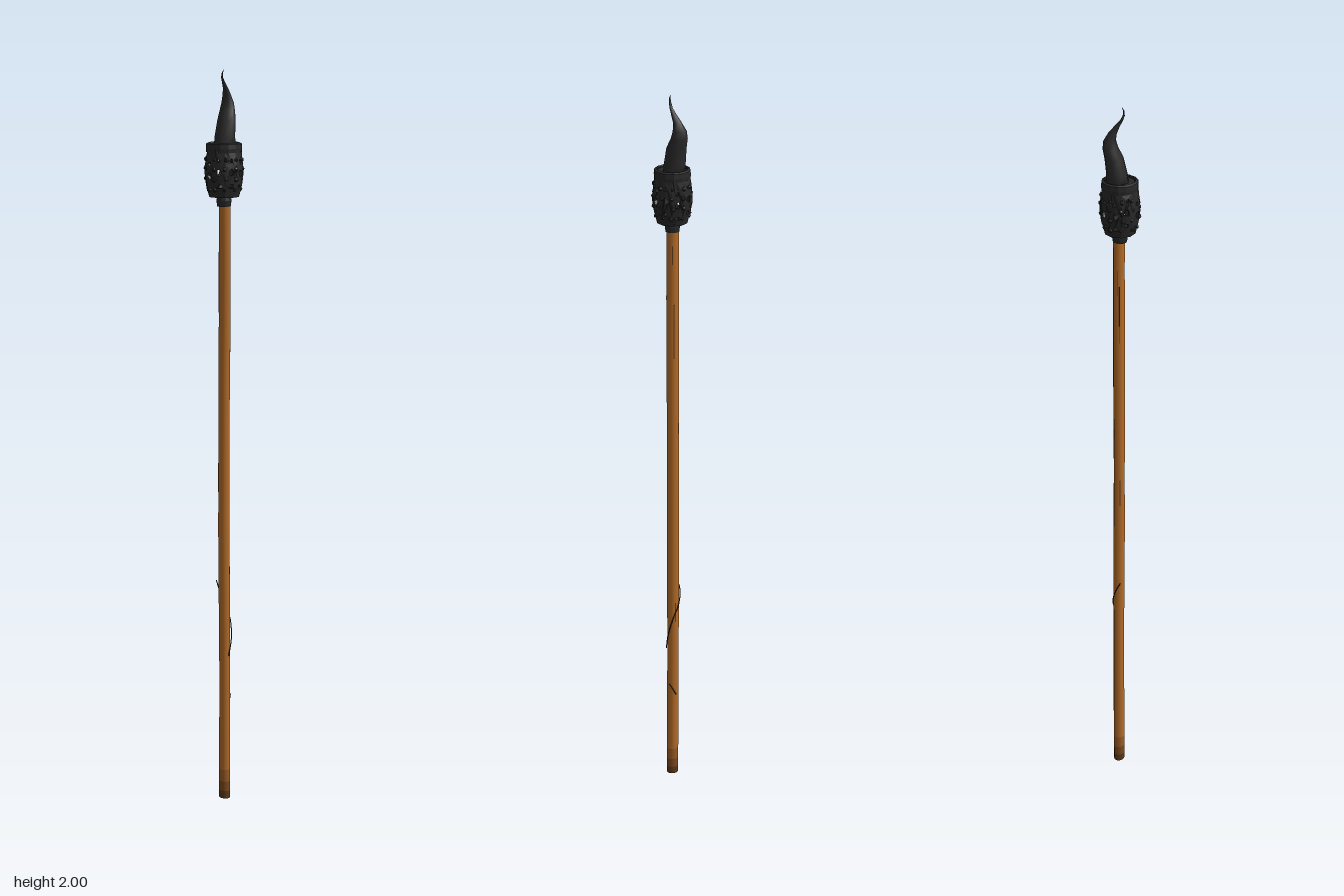
import * as THREE from 'three';
import { mergeGeometries } from 'three/addons/utils/BufferGeometryUtils.js';

const V = (x, y, z) => new THREE.Vector3(x, y, z);
const mat = (name, color, flatShading = false) => {
  const m = new THREE.MeshStandardMaterial({ color, flatShading, side: THREE.DoubleSide });
  m.name = name;
  return m;
};

// Skin through oval sections [y, x, z, rx, rz], closed at both ends
function loft(sections, sides) {
  const pos = [], idx = [];
  sections.forEach(([y, x, z, rx, rz]) => {
    for (let i = 0; i < sides; i++) {
      const a = (i / sides) * Math.PI * 2;
      pos.push(x + Math.sin(a) * rx, y, z + Math.cos(a) * rz);
    }
  });
  const n = sections.length;
  for (let s = 0; s < n - 1; s++) {
    for (let i = 0; i < sides; i++) {
      const a = s * sides + i, b = s * sides + ((i + 1) % sides);
      idx.push(a, b, b + sides, a, b + sides, a + sides);
    }
  }
  for (let i = 1; i < sides - 1; i++) {
    const t = (n - 1) * sides;
    idx.push(0, i + 1, i, t, t + i, t + i + 1);
  }
  const g = new THREE.BufferGeometry();
  g.setAttribute('position', new THREE.Float32BufferAttribute(pos, 3));
  g.setIndex(idx);
  g.computeVertexNormals();
  return g;
}

export function createModel() {
  const group = new THREE.Group();
  const wood = mat('wood', 0xb46c28);
  const agedWood = mat('agedWood', 0x9a5c24);
  const brownWood = mat('brownWood', 0x7c4a1e);
  const darkWood = mat('darkWood', 0x5c3818);
  const vineMat = mat('vine', 0x2e2015);
  const iron = mat('iron', 0x282828, true);
  const charcoal = mat('charcoal', 0x2a2a2a);
  const add = (name, geo, material) => {
    const m = new THREE.Mesh(geo, material);
    m.name = name;
    group.add(m);
    return m;
  };

  // Slightly uneven wooden shaft, darkening in bands towards the foot
  const shaftSection = (y) => [y, 0.002 + 0.001 * Math.sin(y * 5), 0.001 * Math.cos(y * 4) - 0.001,
    0.0145 + 0.0005 * Math.sin(y * 11), 0.017 + 0.0004 * Math.cos(y * 9)];
  const shaftPart = (name, y0, y1, steps, material) => {
    const ys = Array.from({ length: steps + 1 }, (_, i) => y0 + ((y1 - y0) * i) / steps);
    // An open tube with plain side normals, so the bands meet smoothly
    const g = new THREE.CylinderGeometry(1, 1, 1, 12, steps, true);
    const pos = g.attributes.position;
    for (let i = 0; i < pos.count; i++) {
      const [y, x, z, rx, rz] = shaftSection(ys[Math.round((pos.getY(i) + 0.5) * steps)]);
      pos.setXYZ(i, x + pos.getX(i) * rx, y, z + pos.getZ(i) * rz);
    }
    add(name, g, material);
  };
  shaftPart('shaft', 0.085, 1.67, 16, wood);
  shaftPart('shaftLowerBand', 0.05, 0.085, 1, agedWood);
  shaftPart('shaftFootBand', 0.022, 0.05, 1, brownWood);
  shaftPart('shaftFoot', 0, 0.022, 1, darkWood);
  const [, footX, footZ, footRx, footRz] = shaftSection(0);
  const end = add('shaftEnd', new THREE.CircleGeometry(1, 12), darkWood);
  end.scale.set(footRx, footRz, 1);
  end.rotation.x = Math.PI / 2;
  end.position.set(footX, 0, footZ);

  // Thin dark cracks along the shaft: angle, centre height, length
  [[1.5, 1.38, 0.15], [1.3, 1.59, 0.05], [1.7, 0.54, 0.06], [3.9, 1.45, 0.16],
    [3.5, 1.54, 0.07], [3.9, 0.92, 0.08], [2.6, 1.1, 0.03]].forEach(([a, y, len]) => {
    const [, cx, cz, rx, rz] = shaftSection(y);
    const s = add('crack', new THREE.BoxGeometry(0.0022, len, 0.002), darkWood);
    s.position.set(cx + Math.sin(a) * rx * 0.98, y, cz + Math.cos(a) * rz * 0.98);
    s.rotation.y = a;
  });

  // Thin vines winding over the shaft
  [[V(-0.012, 0.63, -0.018), V(0.002, 0.6, -0.022), V(0.015, 0.56, -0.013), V(0.0185, 0.52, 0.004),
    V(0.013, 0.47, 0.016), V(0.002, 0.42, 0.018)],
  [V(0.012, 0.305, 0.013), V(0.0175, 0.29, 0.004), V(0.0175, 0.27, -0.006)]].forEach((pts) =>
    add('vine', new THREE.TubeGeometry(new THREE.CatmullRomCurve3(pts), 28, 0.0015, 5), vineMat));

  // Collar joining the shaft and the basket
  add('collar', new THREE.LatheGeometry(
    [[0, 1.65], [0.018, 1.65], [0.02, 1.665], [0.018, 1.678], [0.036, 1.682], [0.036, 1.69], [0, 1.69]]
      .map(([x, y]) => new THREE.Vector2(x, y)), 12), iron);

  // Pierced basket: panels with rough holes, bent round the axis
  const heights = [1.675, 1.7, 1.73, 1.76, 1.79, 1.812];
  const radii = [0.04, 0.046, 0.051, 0.05, 0.045, 0.045];
  const radiusAt = (y) => {
    const i = Math.max(1, heights.findIndex((h) => y <= h + 1e-6));
    const t = (y - heights[i - 1]) / (heights[i] - heights[i - 1]);
    return radii[i - 1] + (radii[i] - radii[i - 1]) * t;
  };
  const N = 10, half = Math.PI / N;
  const panels = [];
  for (let p = 0; p < N; p++) {
    const shape = new THREE.Shape([
      ...heights.map((y) => new THREE.Vector2(half, y)),
      ...heights.slice().reverse().map((y) => new THREE.Vector2(-half, y)),
    ]);
    // Holes as [angle, height, half angle, half height], staggered from panel to panel
    const shift = 0.007 * Math.sin(p * 2.4);
    [[0.04 * Math.sin(p * 3), 1.738 + shift, 0.14, 0.009], [0.06 * Math.cos(p * 2), 1.768 + shift, 0.1, 0.005],
      [0.05 * Math.sin(p * 5), 1.703 + shift, 0.13, 0.005]].forEach(([u, v, w, h], k) => {
      const pts = [];
      for (let i = 0; i < 8; i++) {
        const a = (i / 8) * Math.PI * 2, r = 1 + 0.2 * Math.sin(i * 2.3 + p * 1.7 + k);
        pts.push(new THREE.Vector2(u + Math.cos(a) * w * r, v + Math.sin(a) * h * r));
      }
      shape.holes.push(new THREE.Path(pts));
    });
    const g = new THREE.ExtrudeGeometry(shape, { depth: 0.008, bevelEnabled: false });
    const pos = g.attributes.position;
    for (let i = 0; i < pos.count; i++) {
      const a = pos.getX(i) + (2 * p + 1) * half, y = pos.getY(i);
      const r = radiusAt(y) + pos.getZ(i) - 0.008;
      pos.setXYZ(i, Math.sin(a) * r, y, Math.cos(a) * r);
    }
    g.computeVertexNormals();
    panels.push(g);
  }
  add('basket', mergeGeometries(panels), iron);

  // Rough lumps on the ribs between the holes
  const lumps = [];
  for (let i = 0; i < N; i++) {
    [1.695, 1.722, 1.748, 1.772].forEach((y, j) => {
      const a = 2 * i * half + 0.06 * Math.sin(i * 2 + j * 3);
      const r = radiusAt(y) - 0.002;
      const g = new THREE.IcosahedronGeometry(0.006 + 0.0015 * Math.sin(i * 4 + j), 0);
      lumps.push(g.rotateY(i + j).translate(Math.sin(a) * r, y, Math.cos(a) * r));
    });
  }
  add('basketLumps', mergeGeometries(lumps), iron);

  // Top rim and lid
  add('lid', new THREE.LatheGeometry(
    [[0, 1.806], [0.04, 1.806], [0.046, 1.79], [0.047, 1.8], [0.046, 1.812], [0.04, 1.815], [0.037, 1.81], [0, 1.81]]
      .map(([x, y]) => new THREE.Vector2(x, y)), 14), iron);

  // Curling flame-shaped horn
  add('horn', loft([
    [1.8, 0.005, -0.002, 0.03, 0.029],
    [1.83, 0.006, -0.004, 0.026, 0.028],
    [1.87, 0.013, -0.006, 0.023, 0.026],
    [1.895, 0.02, -0.011, 0.019, 0.022],
    [1.915, 0.022, -0.012, 0.015, 0.018],
    [1.935, 0.016, -0.008, 0.011, 0.011],
    [1.952, 0.007, -0.002, 0.007, 0.007],
    [1.967, -0.003, 0.002, 0.004, 0.004],
    [1.98, -0.009, 0.003, 0.0025, 0.003],
    [1.991, -0.009, 0.004, 0.0015, 0.002],
    [2.0, -0.004, 0.003, 0.0005, 0.0005],
  ], 9), charcoal);

  return group;
}
